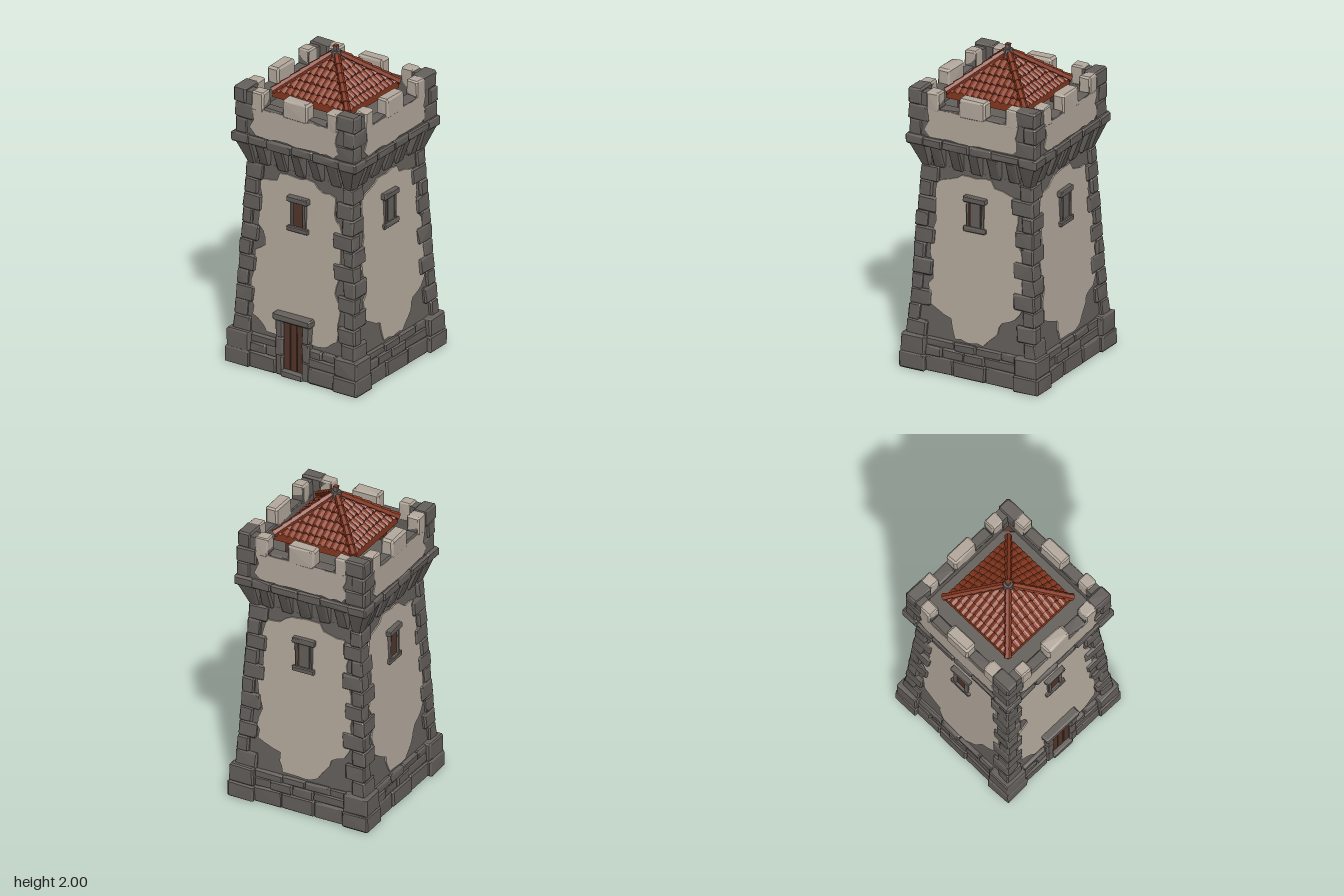
import * as THREE from 'three';
import { mergeGeometries } from 'three/addons/utils/BufferGeometryUtils.js';
import { ConvexGeometry } from 'three/addons/geometries/ConvexGeometry.js';

const material = (name, color, side = THREE.FrontSide) => new THREE.MeshStandardMaterial({ name, color, side });

export function createModel() {
  const stone = material('stone', 0x645f5b);
  const plaster = material('plaster', 0xb3a89c);
  const tile = material('roof tile', 0x86371f);
  const wood = material('dark wood', 0x52352a);

  let seed = 7;
  const rnd = () => (seed = (seed * 16807) % 2147483647) / 2147483647;
  const jit = (a) => (rnd() - 0.5) * 2 * a;
  const mix = THREE.MathUtils.lerp;

  // Half width of the tapering shaft at a height
  const wallAt = (y) => mix(0.42, 0.362, (y - 0.22) / 1.06);

  const add = (parent, name, geometry, mat) => {
    const mesh = new THREE.Mesh(geometry, mat);
    mesh.name = name;
    parent.add(mesh);
    return mesh;
  };

  // Rough chamfered block, optionally bent by a warp rule
  function block(x0, x1, y0, y1, z0, z1, warp, c = 0.009, j = 0.003) {
    const lo = [x0, y0, z0], hi = [x1, y1, z1], points = [];
    for (let corner = 0; corner < 8; corner++) {
      const s = [corner & 1, (corner >> 1) & 1, (corner >> 2) & 1];
      for (let axis = 0; axis < 3; axis++) {
        const v = s.map((e, i) => (e ? hi[i] : lo[i]) + (i === axis ? 0 : e ? -c : c) + jit(j));
        v[1] = Math.max(v[1], 0);
        const p = new THREE.Vector3(...v);
        if (warp) warp(p);
        points.push(p);
      }
    }
    return new ConvexGeometry(points);
  }
  const stones = (parent, name, list, mat = stone) => add(parent, name, mergeGeometries(list), mat);

  // Outline with ragged edges
  function ragged(outline, amount) {
    const pts = [];
    outline.forEach(([x, y], i) => {
      const [u, v] = outline[(i + 1) % outline.length];
      const n = Math.max(1, Math.round(Math.hypot(u - x, v - y) / 0.045));
      for (let k = 0; k < n; k++)
        pts.push(new THREE.Vector2(mix(x, u, k / n) + jit(amount), mix(y, v, k / n) + jit(amount)));
    });
    return new THREE.Shape(pts);
  }
  const plate = (shape, depth) => new THREE.ExtrudeGeometry(shape, { depth, bevelEnabled: false });

  const frontPatch = [[-0.28, 1.19], [-0.17, 1.22], [-0.14, 1.27], [0.1, 1.27], [0.13, 1.23], [0.25, 1.21],
    [0.25, 1.1], [0.31, 1.0], [0.3, 0.75], [0.28, 0.6], [0.31, 0.5], [0.3, 0.3], [0.2, 0.24], [-0.2, 0.24],
    [-0.3, 0.34], [-0.33, 0.5], [-0.3, 0.74], [-0.24, 0.79], [-0.23, 0.84], [-0.29, 0.92], [-0.27, 1.1]];
  const sidePatch = [[-0.27, 1.2], [-0.18, 1.22], [-0.1, 1.27], [0.1, 1.27], [0.13, 1.22], [0.26, 1.2],
    [0.29, 1.1], [0.28, 0.95], [0.32, 0.85], [0.33, 0.52], [0.29, 0.44], [0.2, 0.4], [0.15, 0.29], [0.08, 0.23],
    [-0.12, 0.23], [-0.15, 0.35], [-0.29, 0.42], [-0.3, 0.55], [-0.27, 0.62], [-0.31, 0.75], [-0.27, 0.95], [-0.29, 1.05]];

  const tower = new THREE.Group();
  tower.name = 'tower';

  // Solid cores: base, tapered shaft, floor of the battlements
  add(tower, 'baseCore', new THREE.BoxGeometry(0.86, 0.2, 0.86).translate(0, 0.1, 0), stone);
  const shaft = new THREE.BoxGeometry(2, 1.2, 2).translate(0, 0.7, 0);
  const sp = shaft.attributes.position;
  for (let i = 0; i < sp.count; i++) {
    const w = wallAt(sp.getY(i));
    sp.setXYZ(i, sp.getX(i) * w, sp.getY(i), sp.getZ(i) * w);
  }
  shaft.computeVertexNormals();
  add(tower, 'shaftCore', shaft, stone);
  add(tower, 'battlementFloor', new THREE.BoxGeometry(0.72, 0.32, 0.72).translate(0, 1.44, 0), stone);

  function makeSide(index) {
    const side = new THREE.Group();
    side.name = ['front', 'right', 'back', 'left'][index] + 'Side';
    side.rotation.y = index * Math.PI / 2;
    const isFront = index === 0;

    // Base stones with big corner blocks
    const base = [block(0.3, 0.474, 0, 0.105, 0.3, 0.474), block(0.305, 0.466, 0.1, 0.22, 0.305, 0.466)];
    [[0, 0.105, [-0.31, -0.12, 0.1, 0.31], 0.453], [0.1, 0.165, [-0.31, -0.2, -0.05, 0.09, 0.31], 0.445],
      [0.16, 0.215, [-0.31, -0.12, 0.03, 0.2, 0.31], 0.44]].forEach(([y0, y1, cuts, z]) => {
      for (let i = 0; i + 1 < cuts.length; i++) {
        const a = cuts[i], b = cuts[i + 1];
        const spans = isFront ? [[a, Math.min(b, -0.11)], [Math.max(a, 0.11), b]] : [[a, b]];
        for (const [p, q] of spans)
          if (q - p > 0.03) base.push(block(p, q, y0, y1, 0.4, z + jit(0.006)));
      }
    });
    stones(side, 'baseStones', base);

    // Corner stones up the shaft, alternating long and short
    const quoins = [];
    for (let i = 0; i < 11; i++) {
      const y = 0.21 + i * 0.098, long = 0.135 + jit(0.015), short = 0.085 + jit(0.012);
      const [w, d] = i % 2 ? [long, short] : [short, long];
      quoins.push(block(-w, jit(0.004), y, y + 0.1, -d, jit(0.004), (p) => {
        const e = wallAt(p.y) + 0.02;
        p.x += e;
        p.z += e;
      }));
    }
    stones(side, 'cornerStones', quoins);

    // Worn plaster on the shaft
    const patch = plate(ragged(isFront ? frontPatch : sidePatch, 0.009), 0.008);
    const pp = patch.attributes.position;
    for (let i = 0; i < pp.count; i++) pp.setZ(i, pp.getZ(i) + wallAt(pp.getY(i)));
    patch.computeVertexNormals();
    add(side, 'shaftPlaster', patch, plaster);

    // Window
    const bar = (x0, x1, y0, y1, z) => block(x0, x1, y0, y1, 0.35, z, null, 0.005, 0.002);
    const gap = isFront || index === 3 ? 0.034 : 0.042;
    stones(side, 'windowFrame', [bar(-0.075, 0.075, 1.118, 1.155, 0.408), bar(-0.075, 0.075, 0.93, 0.962, 0.408),
      bar(-0.058, -gap, 0.955, 1.125, 0.4), bar(gap, 0.058, 0.955, 1.125, 0.4)]);
    add(side, 'windowPane', new THREE.BoxGeometry(0.09, 0.17, 0.009).translate(0, 1.04, 0.385), wood);
    if (gap > 0.04) add(side, 'windowSlab', new THREE.BoxGeometry(0.064, 0.16, 0.006).translate(0.004, 1.04, 0.39), stone);

    // Sloping brackets under the ledge
    const lean = (p) => { if (p.z > 0.4) p.z -= Math.max(0, 1.43 - p.y) * 0.38; };
    const leanBoth = (p) => { lean(p); if (p.x > 0.4) p.x -= Math.max(0, 1.43 - p.y) * 0.38; };
    const brackets = [block(0.315, 0.432, 1.28, 1.44, 0.315, 0.432, leanBoth)];
    for (let i = -2; i <= 2; i++)
      brackets.push(block(i * 0.128 - 0.037, i * 0.128 + 0.037, 1.285 + jit(0.008), 1.44, 0.34, 0.428, lean));
    stones(side, 'brackets', brackets);

    // Ledge stones
    const ledge = [block(0.32, 0.446, 1.432, 1.495, 0.32, 0.446)];
    [-0.33, -0.2, -0.02, 0.13, 0.33].forEach((x, i, cuts) => {
      if (i) ledge.push(block(cuts[i - 1], x, 1.435 + jit(0.005), 1.492, 0.34, 0.442 + jit(0.004)));
    });
    stones(side, 'ledge', ledge);

    // Parapet wall with its notches
    const parapet = new THREE.Shape([[-0.42, 1.46], [0.35, 1.46], [0.35, 1.77], [0.23, 1.77], [0.225, 1.685], [0.09, 1.685],
      [-0.09, 1.685], [-0.225, 1.685], [-0.23, 1.77], [-0.42, 1.77]].map((p) => new THREE.Vector2(...p)));
    add(side, 'parapet', plate(parapet, 0.07).translate(0, 0, 0.352), stone);
    stones(side, 'notchSills', [-1, 1].map((s) => block(s * 0.157 - 0.07, s * 0.157 + 0.07, 1.66, 1.692, 0.352, 0.426)));
    stones(side, 'merlonPlaster', [block(-0.09, 0.09, 1.66, 1.785, 0.35, 0.432, null, 0.012),
      block(0.226, 0.31, 1.66, 1.783, 0.35, 0.43), block(-0.31, -0.226, 1.66, 1.783, 0.35, 0.43)], plaster);
    const skin = ragged([[-0.28, 1.5], [0.28, 1.5], [0.32, 1.54], [0.29, 1.6], [0.31, 1.68], [-0.31, 1.68], [-0.29, 1.6], [-0.32, 1.54]], 0.006);
    add(side, 'parapetPlaster', plate(skin, 0.008).translate(0, 0, 0.421), plaster);

    // Parapet corner stones
    const corner = [];
    for (let i = 0; i < 3; i++) {
      const y = 1.488 + i * 0.099, [w, d] = i % 2 ? [0.085, 0.135] : [0.135, 0.085];
      const e = 0.432 + jit(0.004);
      corner.push(block(e - w, e, y, y + 0.101, e - d, e));
    }
    stones(side, 'parapetCorner', corner);

    // Timber wedge in the floor corner
    const wedge = new THREE.Shape([[0.355, -0.355], [0.355, -0.295], [0.295, -0.355]].map((p) => new THREE.Vector2(...p)));
    add(side, 'floorWedge', plate(wedge, 0.008).rotateX(-Math.PI / 2).translate(0, 1.598, 0), wood);

    // Post carrying the roof
    add(side, 'roofPost', new THREE.BoxGeometry(0.04, 0.12, 0.04).translate(0.2, 1.64, 0.2), wood);

    // Roof slope: overlapping courses of ridged tiles, cut along the hips
    const courses = 6, columns = 13, half = 0.268, steps = columns * 4;
    const slope = new THREE.PlaneGeometry(1, 1, steps, courses * 2);
    const rp = slope.attributes.position;
    const drop = Array.from({ length: courses * columns + columns }, () => rnd());
    for (let r = 0; r <= courses * 2; r++) {
      const lower = r % 2 === 1, course = r >> 1;
      for (let i = 0; i <= steps; i++) {
        const column = Math.min(columns - 1, i >> 2), q = drop[course * columns + column];
        const d = half * Math.ceil(r / 2) / courses + (lower && r < courses * 2 - 1 ? q * 0.012 : 0);
        const x = THREE.MathUtils.clamp(mix(-half, half, i / steps), -d, d);
        const ridge = 0.014 * Math.abs(Math.sin(Math.PI * i / 4));
        const lift = r === courses * 2 ? -0.025 : lower ? 0.01 + q * 0.005 + ridge : ridge * 0.7;
        rp.setXYZ(r * (steps + 1) + i, x, 1.94 - 0.83 * d + lift, d);
      }
    }
    const flat = slope.toNonIndexed();
    flat.computeVertexNormals();
    add(side, 'roofTiles', flat, tile);

    // Hip tiles
    const hips = [], top = new THREE.Vector3(0.02, 1.945, 0.02), end = new THREE.Vector3(0.268, 1.737, 0.268);
    const dir = end.clone().sub(top), turn = new THREE.Quaternion().setFromUnitVectors(new THREE.Vector3(0, -1, 0), dir.clone().normalize());
    for (let i = 0; i < 6; i++) {
      const at = top.clone().addScaledVector(dir, (i + 0.5) / 6);
      const g = new THREE.CylinderGeometry(0.017, 0.024, dir.length() / 6 + 0.008, 6).toNonIndexed();
      g.computeVertexNormals();
      hips.push(g.applyQuaternion(turn).translate(at.x, at.y, at.z));
    }
    stones(side, 'hipTiles', hips, tile);
    return side;
  }
  for (let i = 0; i < 4; i++) tower.add(makeSide(i));

  // Door with stone surround, on the front only
  const door = new THREE.Group();
  door.name = 'door';
  const jambs = [];
  for (const s of [-1, 1])
    for (const [y0, y1] of [[0, 0.13], [0.125, 0.25], [0.245, 0.365]])
      jambs.push(block(s * 0.095 - 0.027, s * 0.095 + 0.027, y0, y1, 0.39, 0.457));
  stones(door, 'doorFrame', [...jambs, block(-0.135, 0.135, 0.355, 0.405, 0.38, 0.468), block(-0.08, 0.08, 0, 0.045, 0.39, 0.468)]);
  stones(door, 'doorPlanks', [-1, 0, 1].map((i) => block(i * 0.047 - 0.0235, i * 0.047 + 0.0235, 0.03, 0.365, 0.4, 0.439, null, 0.003, 0.001)), wood);
  tower.add(door);

  // Eaves and finial
  add(tower, 'eaves', new THREE.BoxGeometry(0.5, 0.025, 0.5).translate(0, 1.702, 0), wood);
  const collar = new THREE.CylinderGeometry(0.03, 0.036, 0.035, 8).toNonIndexed();
  collar.computeVertexNormals();
  add(tower, 'finialCollar', collar.translate(0, 1.95, 0), stone);
  add(tower, 'finialSpike', new THREE.BoxGeometry(0.026, 0.07, 0.026).translate(0, 1.96, 0), stone);
  add(tower, 'finialCap', new THREE.BoxGeometry(0.028, 0.006, 0.028).translate(0, 1.997, 0), tile);

  return tower;
}
